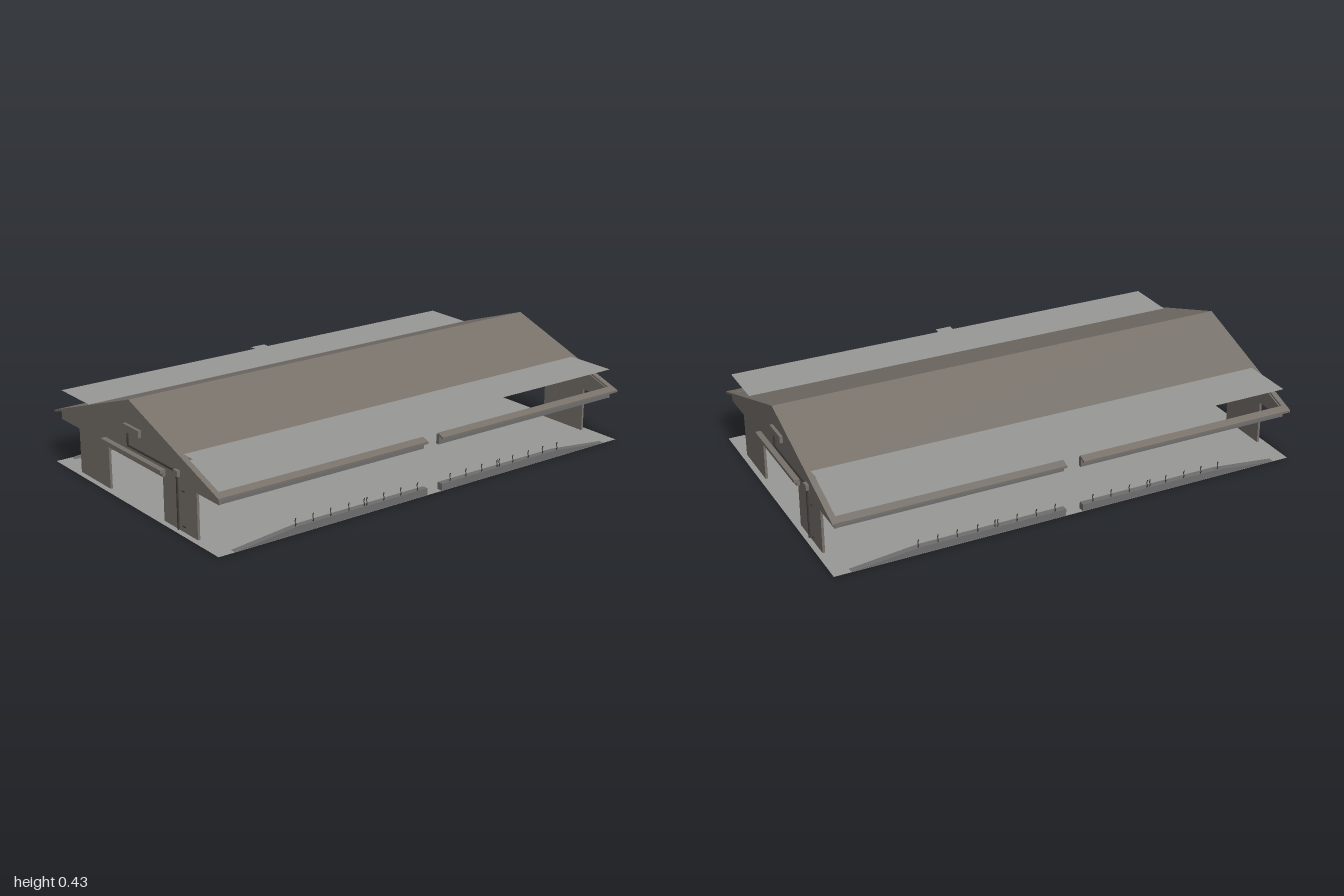
import * as THREE from 'three';

const mat = (name, color, side = THREE.FrontSide) => {
  const m = new THREE.MeshStandardMaterial({ color, side });
  m.name = name;
  return m;
};

// Height of the roof's upper face at a distance x from the ridge
const roofY = (x) => 0.426 - 0.341 * x;

export function createModel() {
  const root = new THREE.Group();
  root.name = 'openSidedBarn';
  const cladding = mat('warmGreyCladding', 0x77716a);
  const concrete = mat('lightConcrete', 0x999997, THREE.DoubleSide);
  const curbGrey = mat('curbGrey', 0x6e6e6e);
  const dark = mat('darkMetal', 0x3c3a38);

  const add = (parent, name, geo, material, x = 0, y = 0, z = 0) => {
    const m = new THREE.Mesh(geo, material);
    m.name = name;
    m.position.set(x, y, z);
    parent.add(m);
    return m;
  };
  const box = (parent, name, material, x0, x1, y0, y1, z0, z1) =>
    add(parent, name, new THREE.BoxGeometry(x1 - x0, y1 - y0, z1 - z0), material,
      (x0 + x1) / 2, (y0 + y1) / 2, (z0 + z1) / 2);
  const shapeOf = (pts) => new THREE.Shape(pts.map(([x, y]) => new THREE.Vector2(x, y)));
  const prism = (pts, depth) =>
    new THREE.ExtrudeGeometry(shapeOf(pts), { depth, bevelEnabled: false });

  // Sloping roof slab between two distances from the ridge
  const roofSlab = (parent, name, x0, x1, z0, z1) => {
    const t = 0.009;
    add(parent, name, prism([[x0, roofY(x0) - t], [x1, roofY(x1) - t],
      [x1, roofY(x1)], [x0, roofY(x0)]], z1 - z0), cladding, 0, 0, z0);
  };

  // Floor sheet
  const floor = add(root, 'floor', new THREE.PlaneGeometry(1.2, 2), concrete, 0, 0.001, 0);
  floor.rotation.x = -Math.PI / 2;

  // Level ceiling sheet with a small tab in the middle of each side
  const ceilingPts = [[0.57, -0.975], [0.57, -0.035], [0.6, -0.035], [0.6, 0.035],
    [0.57, 0.035], [0.57, 0.975]];
  const ceilingShape = shapeOf([...ceilingPts, ...ceilingPts.map(([x, y]) => [-x, -y])]);
  const ceiling = add(root, 'ceiling', new THREE.ShapeGeometry(ceilingShape), concrete, 0, 0.308, 0);
  ceiling.rotation.x = -Math.PI / 2;

  // The barn is the same after half a turn, so build one half twice
  for (let half = 0; half < 2; half++) {
    const g = new THREE.Group();
    g.name = half ? 'backHalf' : 'frontHalf';
    g.rotation.y = half * Math.PI;
    root.add(g);

    // Upper roof slope and the strips that frame the open lower slope
    roofSlab(g, 'roofSlope', 0, 0.37, -0.995, 0.995);
    for (const s of [-1, 1]) {
      const [z0, z1] = s > 0 ? [0.972, 0.995] : [-0.995, -0.972];
      roofSlab(g, 'gableRoofStrip', 0.37, 0.6, z0, z1);
    }

    // Gable wall with door opening
    const under = (x) => roofY(x) - 0.008;
    const right = [[0.2, 0.185], [0.2, 0], [0.43, 0], [0.43, 0.185], [0.575, 0.185],
      [0.575, under(0.575)]];
    const left = right.map(([x, y]) => [-x, y]).reverse();
    add(g, 'gableWall', prism([...right, [0, under(0)], ...left], 0.01), cladding, 0, 0, 0.967);

    // Door rail
    box(g, 'doorRail', cladding, -0.22, 0.22, 0.198, 0.211, 0.977, 1);
    box(g, 'doorRailFascia', cladding, -0.22, 0.22, 0.184, 0.198, 0.977, 0.99);

    // Control box, conduit and wall fittings
    box(g, 'gableBox', cladding, -0.061, 0.052, 0.286, 0.315, 0.977, 0.99);
    box(g, 'conduitDrop', dark, -0.047, -0.041, 0.228, 0.286, 0.977, 0.983);
    box(g, 'conduitRun', dark, -0.047, 0.295, 0.226, 0.232, 0.977, 0.983);
    box(g, 'junctionBox', cladding, 0.293, 0.322, 0.215, 0.238, 0.977, 0.99);
    box(g, 'conduitDownpipe', dark, 0.3, 0.306, 0, 0.215, 0.977, 0.983);
    for (const y of [0.026, 0.165])
      box(g, 'wallHook', dark, 0.337, 0.352, y - 0.002, y + 0.002, 0.977, 0.983);

    // Side eaves, curbs and posts, in two runs with a gap in the middle
    for (const s of [-1, 1]) {
      const [z0, z1] = s > 0 ? [0.037, 0.972] : [-0.972, -0.037];
      roofSlab(g, 'eaveStrip', 0.568, 0.6, z0, z1);
      box(g, 'eaveBeam', curbGrey, 0.56, 0.575, 0.186, 0.225, z0, z1);

      // Curb tapering to the ground toward the gable
      const profile = [[0.037, 0], [0.94, 0], [0.65, 0.03], [0.037, 0.03]];
      const pts = s > 0 ? profile.map(([z, y]) => [-z, y]).reverse() : profile;
      const curb = add(g, 'curb', prism(pts, 0.026), curbGrey, 0.573, 0, 0);
      curb.rotation.y = Math.PI / 2;

      // Small bent posts on the curb
      for (const z of [0.083, 0.165, 0.248, 0.33, 0.342, 0.415, 0.5, 0.58, 0.66]) {
        const path = new THREE.CatmullRomCurve3([
          new THREE.Vector3(0.592, 0.028, 0), new THREE.Vector3(0.595, 0.04, 0),
          new THREE.Vector3(0.591, 0.05, 0), new THREE.Vector3(0.592, 0.062, -0.003),
        ]);
        add(g, 'curbPost', new THREE.TubeGeometry(path, 6, 0.0022, 5), dark, 0, 0, s * z);
      }
    }
  }
  return root;
}
